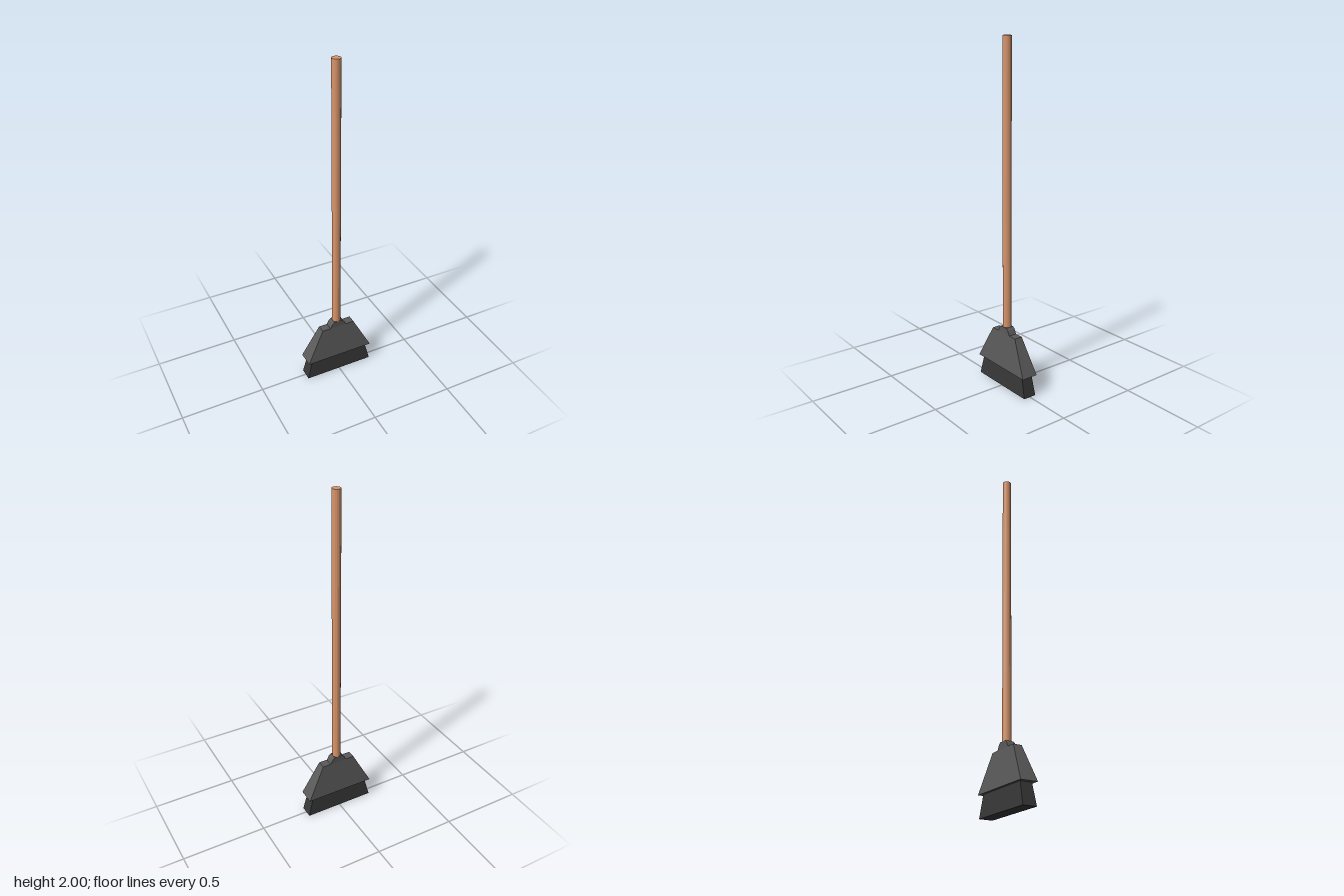
import * as THREE from 'three';

const material = (color) => new THREE.MeshStandardMaterial({ color, flatShading: true });

// Box between y0 and y1 whose half sizes change from bottom to top
function taperedBox(y0, y1, bottom, top) {
  const geo = new THREE.BoxGeometry(2, 1, 2);
  const p = geo.attributes.position;
  for (let i = 0; i < p.count; i++) {
    const up = p.getY(i) > 0;
    const [hx, hz] = up ? top : bottom;
    p.setXYZ(i, p.getX(i) * hx, up ? y1 : y0, p.getZ(i) * hz);
  }
  geo.computeVertexNormals();
  return geo;
}

export function createModel() {
  const group = new THREE.Group();
  const add = (name, geo, mat) => {
    const mesh = new THREE.Mesh(geo, mat);
    mesh.name = name;
    group.add(mesh);
    return mesh;
  };
  const wood = material(0xd8956b);
  const plastic = material(0x5a5a5a);
  const fibre = material(0x383838);

  // Bristles flare outward to the floor
  add('bristles', taperedBox(0, 0.125, [0.212, 0.04], [0.18, 0.034]), fibre);

  // Head narrows toward the handle
  add('head', taperedBox(0.122, 0.327, [0.21, 0.05], [0.104, 0.025]), plastic);

  // Stepped collar on top of the head
  const half = [[0.052, 0.327], [0.038, 0.354], [0.025, 0.365]];
  const outline = [...half, ...half.map(([x, y]) => [-x, y]).reverse()];
  const shape = new THREE.Shape(outline.map(([x, y]) => new THREE.Vector2(x, y)));
  const collar = new THREE.ExtrudeGeometry(shape, { depth: 0.05, bevelEnabled: false });
  collar.translate(0, 0, -0.025);
  add('collar', collar, plastic);

  // Long round handle
  const handle = new THREE.CylinderGeometry(0.025, 0.025, 1.66, 16);
  handle.translate(0, 1.17, 0);
  add('handle', handle, wood);

  return group;
}
